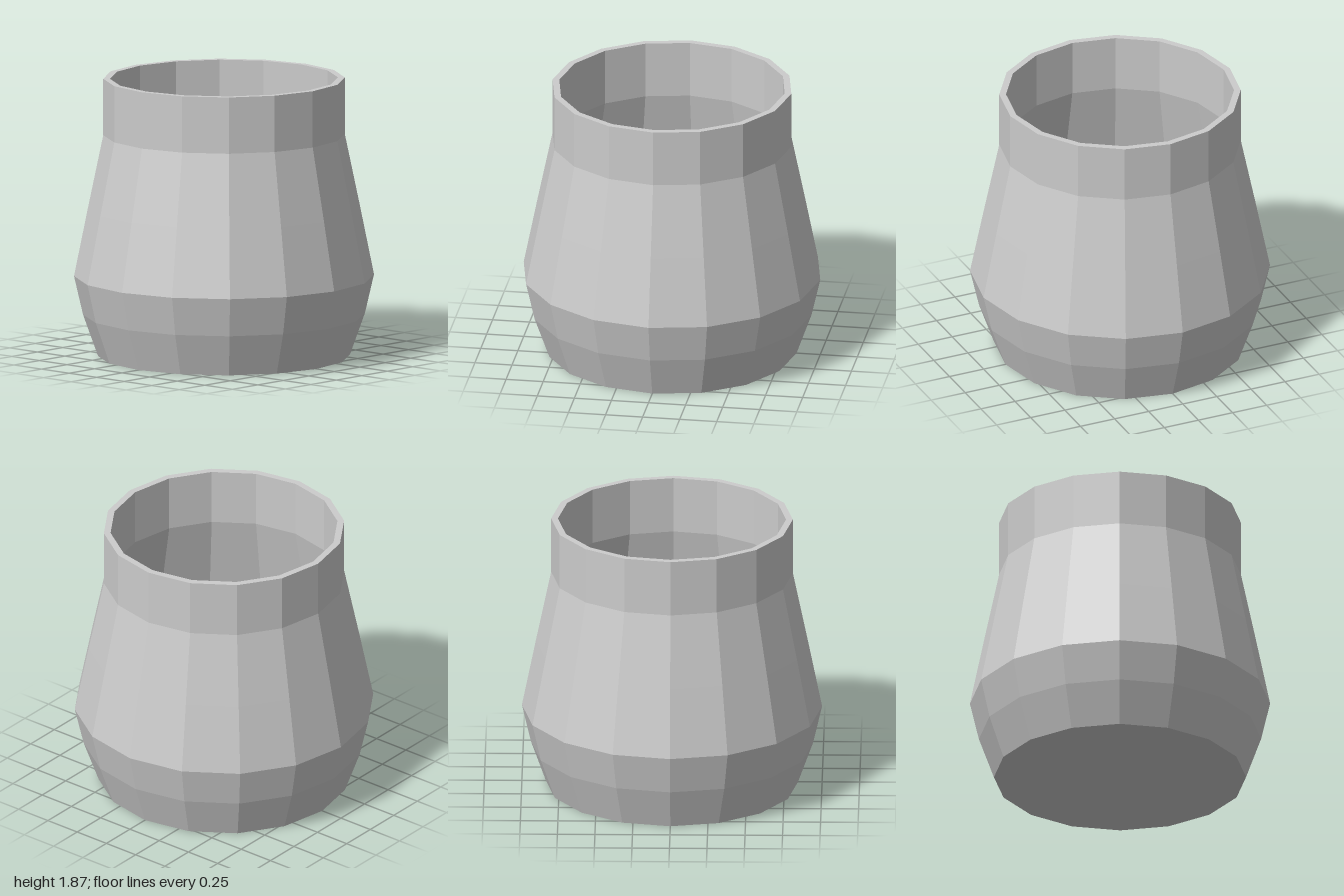
import * as THREE from 'three';

const SIDES = 16;

function mat(flat) {
  return new THREE.MeshStandardMaterial({ color: 0xcccccc, flatShading: flat, side: THREE.DoubleSide });
}

// Revolve a profile of [radius, height] pairs
function lathe(name, profile, sides, flat) {
  const points = profile.map(([r, y]) => new THREE.Vector2(r, y));
  const mesh = new THREE.Mesh(new THREE.LatheGeometry(points, sides), mat(flat));
  mesh.name = name;
  return mesh;
}

export function createModel() {
  const model = new THREE.Group();
  model.name = 'pot';

  // Faceted pot: underside, outer wall, rim, inner wall and floor in one shell
  const outer = [[0.84, 0], [0.94, 0.28], [1, 0.54], [0.907, 1.0], [0.805, 1.49], [0.805, 1.87]];
  const wall = 0.045;
  const inner = outer.map(([r, y], i) => [r - wall, i === 0 ? 0.05 : y]).reverse();
  model.add(lathe('potBody', [[0, 0], ...outer, ...inner, [0, 0.05]], SIDES, true));

  // Small tapered piece standing on the floor, with a thin side tab
  const piece = new THREE.Group();
  piece.name = 'smallInsidePiece';
  piece.position.set(0.215, 0.05, 0);
  piece.add(lathe('piecebody', [[0, 0], [0.09, 0], [0.07, 0.12], [0, 0.12]], 24, true));
  const tab = new THREE.Mesh(new THREE.BoxGeometry(0.08, 0.04, 0.015), mat(true));
  tab.name = 'pieceTab';
  tab.position.set(-0.11, 0.06, 0);
  piece.add(tab);
  model.add(piece);

  return model;
}
